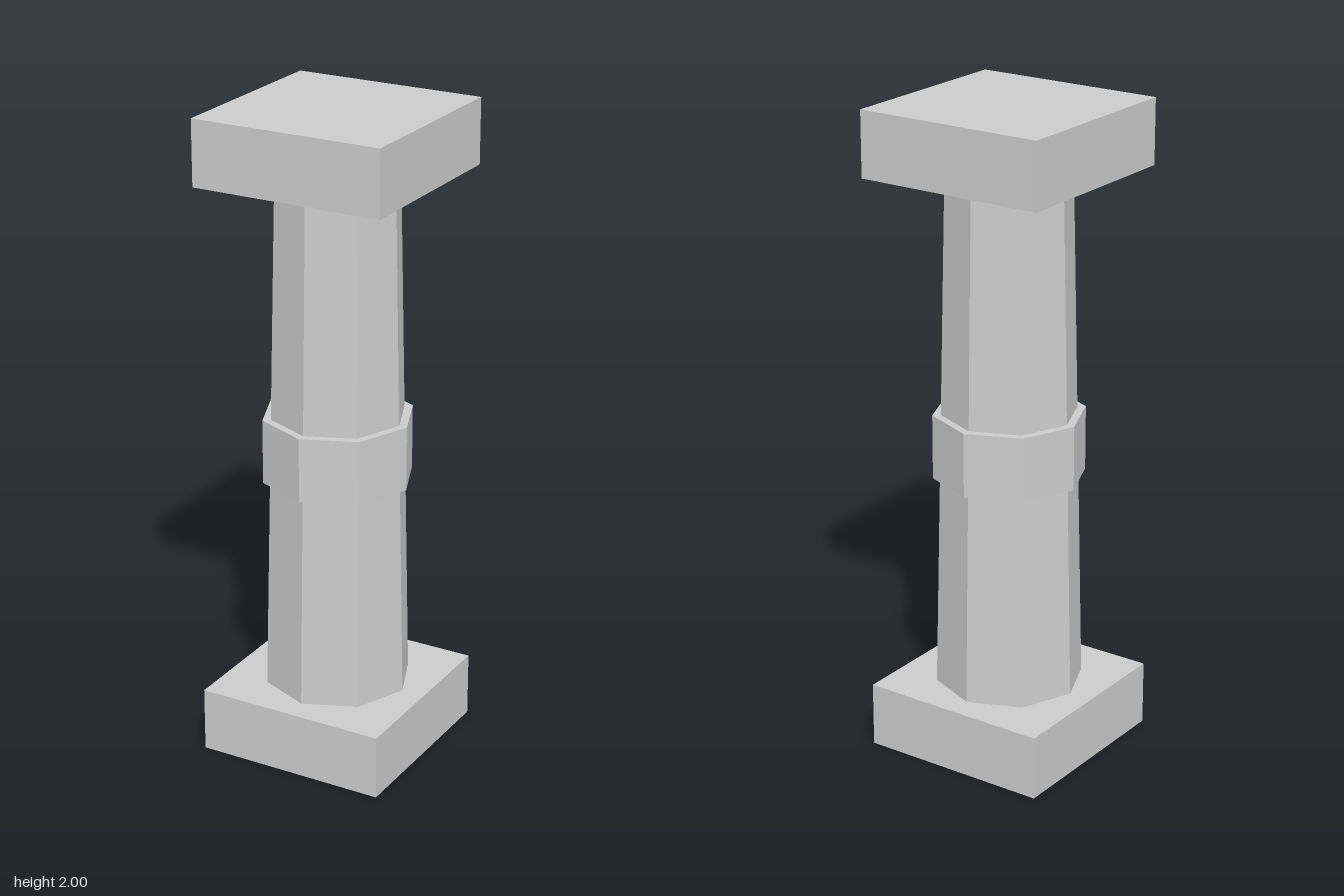
import * as THREE from 'three';

export function createModel() {
  const model = new THREE.Group();
  model.name = 'column';
  const stone = new THREE.MeshStandardMaterial({ color: 0xcccccc, flatShading: true });
  stone.name = 'grey stone';

  const add = (name, geometry, y) => {
    const mesh = new THREE.Mesh(geometry, stone);
    mesh.name = name;
    mesh.position.y = y;
    model.add(mesh);
  };

  // Square slabs at foot and head
  add('basePlinth', new THREE.BoxGeometry(0.6, 0.2, 0.6), 0.1);
  add('topSlab', new THREE.BoxGeometry(0.6, 0.2, 0.6), 1.9);

  // Tapered octagonal shaft, hidden ends left open
  add('shaft', new THREE.CylinderGeometry(0.188, 0.226, 1.6, 8, 1, true), 1);

  // Octagonal band around the middle
  add('middleBand', new THREE.CylinderGeometry(0.231, 0.231, 0.2, 8), 0.97);

  return model;
}
